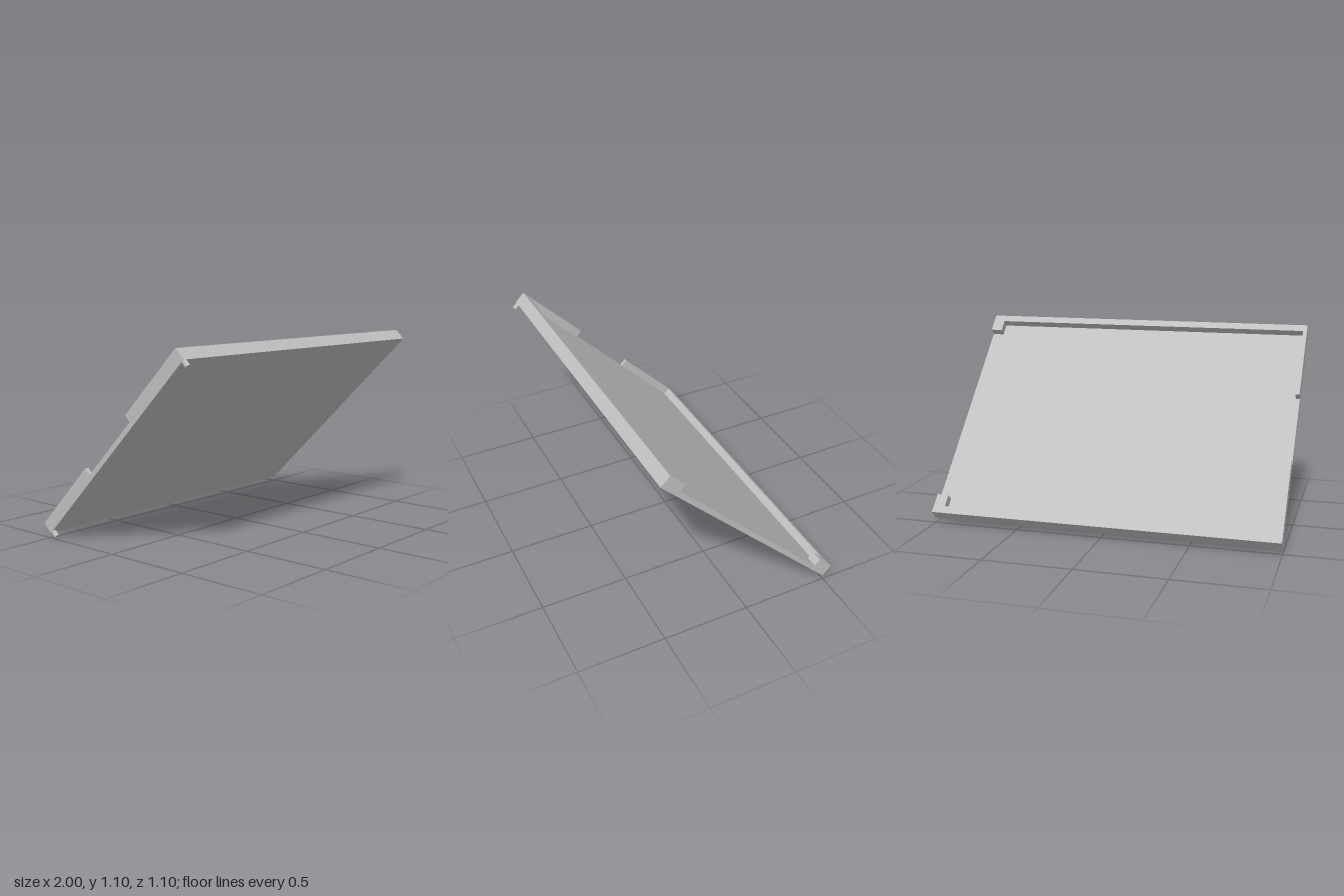
import * as THREE from 'three';

const HALF = 0.7215;   // half length along the slope
const FLOOR = 0.028;   // thickness of the base sheet
const THICK = 0.0735;  // total thickness with the rim

export function createModel() {
  const model = new THREE.Group();
  const grey = new THREE.MeshStandardMaterial({ color: 0xc0c0c0 });

  // the panel is modelled flat, then tilted by 45 degrees
  const panel = new THREE.Group();
  panel.name = 'tiltedPanel';
  panel.rotation.x = -Math.PI / 4;
  panel.position.set(0, 0.5355, 0.0135);
  model.add(panel);

  const add = (name, geometry) => {
    const mesh = new THREE.Mesh(geometry, grey);
    mesh.name = name;
    panel.add(mesh);
    return mesh;
  };

  // base sheet
  add('baseSheet', new THREE.BoxGeometry(2, FLOOR, 2 * HALF)).position.y = FLOOR / 2;

  for (const s of [-1, 1]) {
    const end = s < 0 ? 'lower' : 'upper';

    // half of the raised rim: end bar, square corner block and side wall up to the gap
    const outline = [
      [-1, 0.221], [-0.977, 0.221], [-0.977, HALF - 0.044], [0.932, HALF - 0.044],
      [0.932, HALF - 0.117], [1, HALF - 0.117], [1, HALF], [-1, HALF],
    ].map(([x, z]) => new THREE.Vector2(x, s * z));
    const rim = new THREE.ExtrudeGeometry(new THREE.Shape(outline), { depth: THICK - FLOOR, bevelEnabled: false });
    rim.rotateX(Math.PI / 2);
    add(end + 'Rim', rim).position.y = THICK;

    // small round peg under the corner
    const peg = add(end + 'Peg', new THREE.CylinderGeometry(0.0145, 0.0145, 0.045, 24));
    peg.position.set(-0.9855, -0.0125, s * (HALF - 0.0135));
  }
  return model;
}
